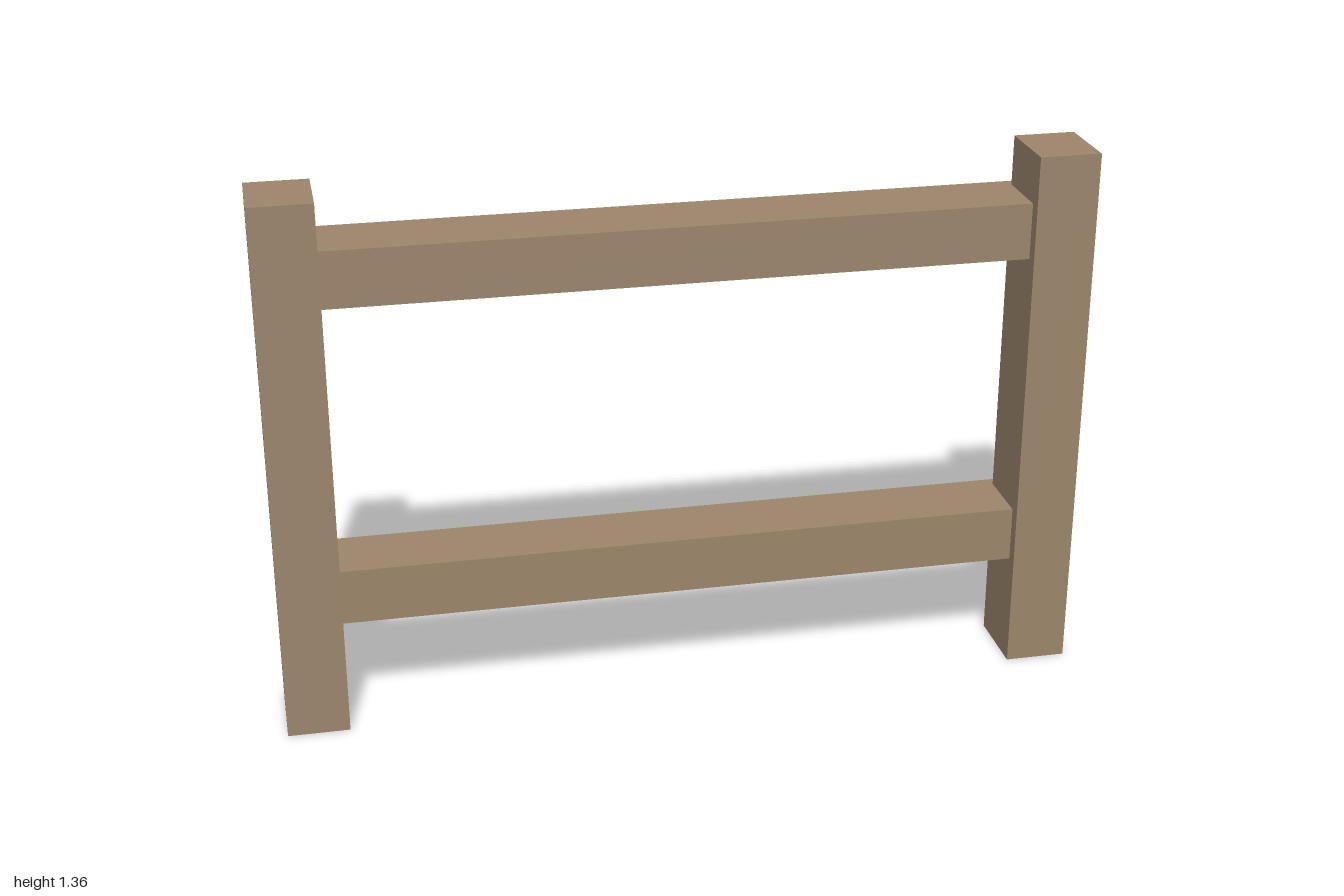
import * as THREE from 'three';

export function createModel() {
  const group = new THREE.Group();
  const wood = new THREE.MeshStandardMaterial({ color: 0x9e876c });
  wood.name = 'weathered wood';

  // Box given by its width, bottom/top and back/front limits
  function beam(name, x, width, y0, y1, z0, z1) {
    const mesh = new THREE.Mesh(new THREE.BoxGeometry(width, y1 - y0, z1 - z0), wood);
    mesh.name = name;
    mesh.position.set(x, (y0 + y1) / 2, (z0 + z1) / 2);
    group.add(mesh);
  }

  // Square posts at both ends
  beam('leftPost', 0.924, 0.152, 0, 1.355, -0.079, 0.107);
  beam('rightPost', -0.924, 0.152, 0, 1.355, -0.079, 0.107);

  // Rails let into the posts, standing slightly proud at the back
  beam('lowerRail', 0, 1.82, 0.279, 0.419, -0.107, 0.075);
  beam('upperRail', 0, 1.82, 1.091, 1.231, -0.107, 0.075);

  return group;
}
